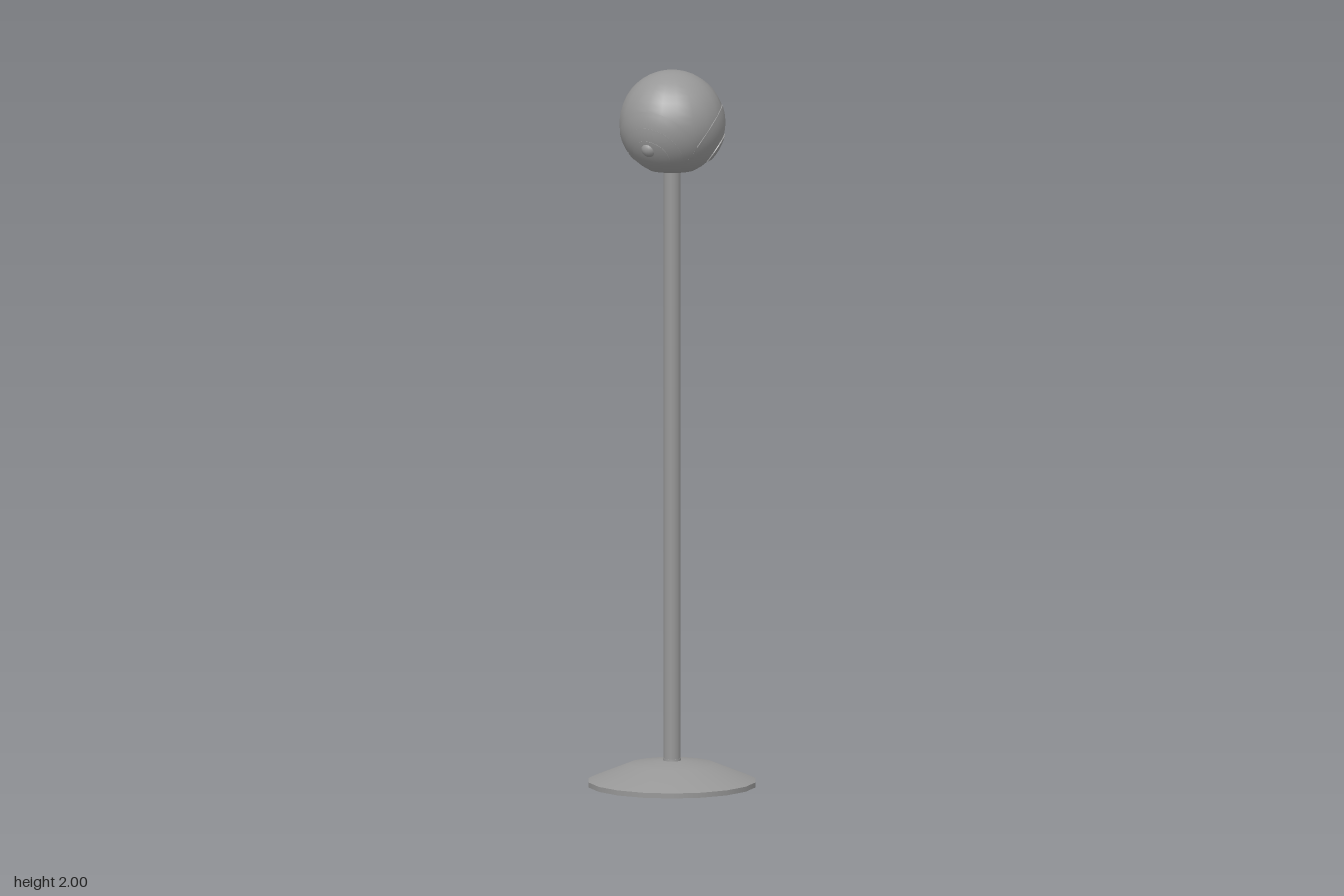
import * as THREE from 'three';

const R = 0.146, HEAD_Y = 1.854, CUT = 1.722 - HEAD_Y, PANEL_CUT = 1.752 - HEAD_Y;
const rad = THREE.MathUtils.degToRad;

export function createModel() {
  const group = new THREE.Group();
  const mat = new THREE.MeshStandardMaterial({ color: 0x979797, side: THREE.DoubleSide });

  function add(name, geometry, y = 0, parent = group) {
    const mesh = new THREE.Mesh(geometry, mat);
    mesh.name = name;
    mesh.position.y = y;
    parent.add(mesh);
    return mesh;
  }

  // Lathe whose first vertex lies on +x
  function lathe(points, segments) {
    const g = new THREE.LatheGeometry(points.map(([x, y]) => new THREE.Vector2(x, y)), segments);
    return g.rotateY(Math.PI / 2);
  }

  // Shallow domed foot with a short vertical rim and a flat underside
  add('baseDome', lathe([[0.234, 0.014], [0.12, 0.06], [0.03, 0.07], [0, 0.07]], 18));
  add('baseRim', lathe([[0.234, 0], [0.234, 0.014]], 18));
  add('baseUnderside', lathe([[0, 0], [0.234, 0]], 18));

  // Pole and its small foot collar
  add('pole', new THREE.CylinderGeometry(0.024, 0.024, 1.67, 16), 0.9);
  add('poleCollar', new THREE.CylinderGeometry(0.025, 0.026, 0.016, 16), 0.068);

  // Ball head, cut flat where it meets the pole
  const head = new THREE.Group();
  head.name = 'head';
  head.position.y = HEAD_Y;
  group.add(head);
  const cutAngle = Math.acos(CUT / R);
  add('ball', new THREE.SphereGeometry(R, 20, 18, 0, Math.PI * 2, 0, cutAngle), 0, head);
  add('ballUnderside', lathe([[0, 0], [R * Math.sin(cutAngle), 0]], 20), CUT, head);

  // Thin round plate lying on the ball, tilted downwards and trimmed level below.
  // Its rim is a separate strip so that the step stays crisp.
  function plate(name, azimuth, halfAngle, lift) {
    const at = (r, a) => [r * Math.sin(rad(a)), r * Math.cos(rad(a))];
    const face = [];
    for (let i = 12; i >= 0; i--) face.push(at(R + lift, halfAngle * i / 12));
    const rim = [at(R - 0.004, halfAngle), at(R + lift, halfAngle)];
    for (const [part, points] of [['Face', face], ['Rim', rim]]) {
      const g = lathe(points, 36).rotateX(rad(125)).rotateY(rad(azimuth));
      const p = g.attributes.position;
      for (let i = 0; i < p.count; i++) p.setY(i, Math.max(p.getY(i), PANEL_CUT));
      add(name + part, g, 0, head);
    }
  }

  // Three lens panels evenly spaced around the ball
  for (const [side, azimuth] of [['front', 0], ['left', 120], ['right', -120]]) {
    plate(side + 'Panel', azimuth, 54, 0.0015);
    if (side === 'front') plate('frontRing', azimuth, 36, 0.003);
    plate(side + 'Lens', azimuth, 22, 0.0045);
  }

  // Small round knob on the front lens
  const knob = add('frontKnob', new THREE.SphereGeometry(0.024, 16, 12), -0.056, head);
  knob.position.z = 0.124;

  return group;
}
